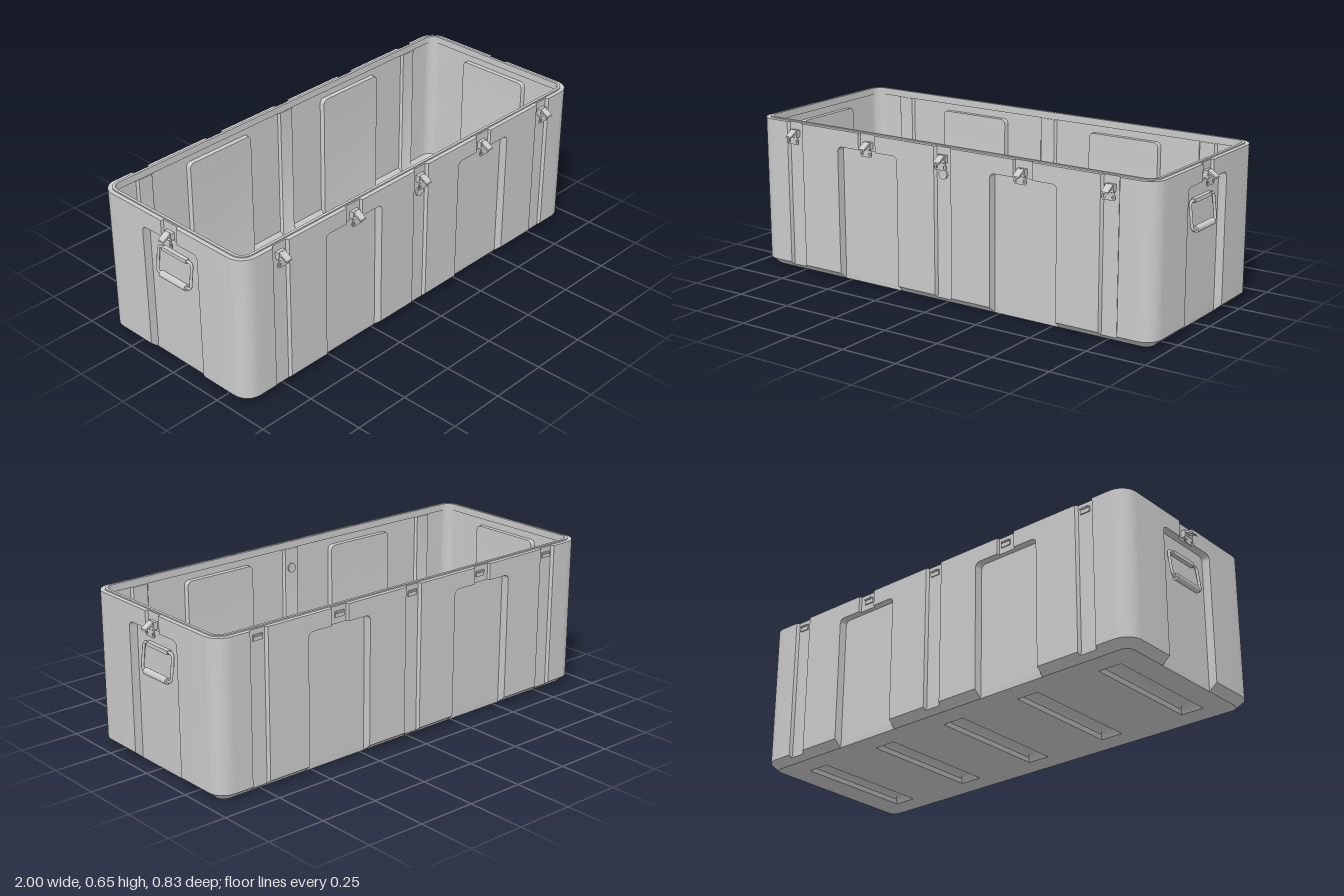
import * as THREE from 'three';
import { toCreasedNormals } from 'three/addons/utils/BufferGeometryUtils.js';

const HX = 0.96, HZ = 0.395, R = 0.07;   // half sizes and corner radius of the tub
const mat = new THREE.MeshStandardMaterial({ color: 0xcccccc });
const V = (x, y, z) => new THREE.Vector3(x, y, z);

function add(parent, name, geo, x = 0, y = 0, z = 0) {
  const m = new THREE.Mesh(geo, mat);
  m.name = name;
  m.position.set(x, y, z);
  parent.add(m);
  return m;
}

// Skin over a list of rings that share one point count
function loft(rings) {
  const n = rings[0].length, idx = [];
  for (let r = 0; r < rings.length - 1; r++) for (let i = 0; i < n; i++) {
    const a = r * n + i, b = r * n + (i + 1) % n;
    idx.push(a, a + n, b, b, a + n, b + n);
  }
  const geo = new THREE.BufferGeometry().setFromPoints(rings.flat());
  geo.setIndex(idx);
  return toCreasedNormals(geo, 0.6);
}

// Flat horizontal face inside a ring, facing up or down, with optional holes
function cap(ring, up, holes = []) {
  const s = up ? -1 : 1;
  const flat = (pts) => pts.map((p) => new THREE.Vector2(p.x, s * p.z));
  const shape = new THREE.Shape(flat(ring));
  for (const h of holes) shape.holes.push(new THREE.Path(flat(h)));
  return new THREE.ShapeGeometry(shape).rotateX(s * Math.PI / 2).translate(0, ring[0].y, 0);
}

// Plan outline at height y: inset rounded rectangle, stepped in by g at the
// grooves and by pd over half width pw at the panels
function outline(y, inset, g, pw, pd) {
  const pts = [];
  for (let k = 0; k < 4; k++) {
    const a = k * Math.PI / 2, c = Math.cos(a), s = Math.sin(a);
    const H = k % 2 ? HZ : HX, L = k % 2 ? HX : HZ;
    const put = (out, t) => pts.push(V(c * out - s * t, y, s * out + c * t));
    for (const f of k % 2 ? [-0.765, -0.38, 0, 0.38, 0.765] : [0]) {
      const panel = k % 2 === 0 || Math.abs(f) === 0.38;
      const w = panel ? pw : 0.033, e = panel ? 0.003 : 0.008;
      const d = H - Math.max(inset, panel ? pd : g);
      put(H - inset, f - w - e);
      put(d, f - w);
      put(d, f + w);
      put(H - inset, f + w + e);
    }
    for (let i = 0; i <= 8; i++) {
      const q = i / 8 * Math.PI / 2, r = R - inset;
      put(H - R + r * Math.cos(q), L - R + r * Math.sin(q));
    }
  }
  return pts;
}

// Heights and half widths of a rounded panel top, going up
function roundedTop(top, w, r) {
  const list = [];
  for (let i = 0; i <= 5; i++) {
    const q = i / 5 * Math.PI / 2;
    list.push([top - r + r * Math.sin(q), w - r + r * Math.cos(q)]);
  }
  return list;
}

function buildTub(parent) {
  const out = (y, inset, w = 0.15, d = 0.033) => outline(y, inset, 0.012, w, d);
  const inn = (y, inset, w = 0.145, d = 0) => outline(y, inset, 0.034, w, d);
  const rings = [
    // outer skin
    out(0, 0.034), out(0.0194, 0.012), out(0.03, 0),
    ...roundedTop(0.575, 0.15, 0.02).map(([y, w]) => out(y, 0, w)),
    out(0.575, 0, 0.04, 0.012), out(0.645, 0, 0.04, 0.012),
    // rim and lip
    out(0.645, 0.018, 0.04, 0), out(0.65, 0.018, 0.04, 0),
    out(0.65, 0.03, 0.04, 0), out(0.62, 0.03, 0.04, 0),
    // inner skin
    inn(0.62, 0.024), inn(0.59, 0.024),
    ...roundedTop(0.59, 0.165, 0.02).reverse().map(([y, w]) => inn(y, 0.024, w, 0.045)),
    inn(0.04, 0.024, 0.165, 0.045), inn(0.012, 0.05, 0.165, 0.045),
  ];
  add(parent, 'tubWalls', loft(rings));

  // Five channels pressed up into the floor
  const rect = (x, y, hx, hz) => [V(x + hx, y, -hz), V(x + hx, y, hz), V(x - hx, y, hz), V(x - hx, y, -hz)];
  const xs = [-0.77, -0.38, 0, 0.375, 0.765];
  const steps = [[0, 0.052, 0.267], [0.018, 0.046, 0.255], [0.026, 0.034, 0.243], [0.028, 0.024, 0.236]];
  for (const x of xs) {
    const under = steps.map(([y, a, b]) => rect(x, y, a - 0.002, b - 0.002)).reverse();
    const above = steps.map(([y, a, b]) => rect(x, y + 0.012, a, b));
    add(parent, 'floorChannel', loft(under));
    add(parent, 'floorChannelRoof', cap(under[0], false));
    add(parent, 'floorRidge', loft(above));
    add(parent, 'floorRidgeTop', cap(above[3], true));
  }
  add(parent, 'underside', cap(rings[0], false, xs.map((x) => rect(x, 0, 0.05, 0.265))));
  add(parent, 'innerFloor', cap(rings[rings.length - 1], true, xs.map((x) => rect(x, 0.012, 0.052, 0.267))));
}

const extrude = (shape, depth) => new THREE.ExtrudeGeometry(shape, { depth, bevelEnabled: false, curveSegments: 6 });

// Group standing on a wall: local z points out of the wall, z = 0 is its face
function onWall(parent, name, angle, along) {
  const g = new THREE.Group();
  g.name = name;
  const h = Math.abs(Math.sin(angle)) > 0.5 ? HX : HZ;
  const c = Math.cos(angle), s = Math.sin(angle);
  g.position.set(h * s + along * c, 0, h * c - along * s);
  g.rotation.y = angle;
  parent.add(g);
  return g;
}

function buildLatch(parent, angle, along) {
  const g = onWall(parent, 'latch', angle, along);
  add(g, 'latchBase', new THREE.BoxGeometry(0.038, 0.03, 0.02), 0, 0.599, -0.003);
  // slotted plate
  const plate = new THREE.Shape([[-0.024, 0.555], [0.024, 0.555], [0.029, 0.562], [0.029, 0.572],
    [0.019, 0.592], [-0.019, 0.592], [-0.029, 0.572], [-0.029, 0.562]].map((p) => new THREE.Vector2(...p)));
  for (const x of [-0.018, 0.018]) plate.holes.push(new THREE.Path().absellipse(x, 0.568, 0.004, 0.007, 0, Math.PI * 2));
  add(g, 'latchPlate', extrude(plate, 0.004), 0, 0, 0.007);
  // lever curling out and down, drawn as a side profile
  const lever = new THREE.Shape();
  lever.moveTo(0.004, 0.616);
  lever.quadraticCurveTo(0.018, 0.606, 0.03, 0.6);
  lever.lineTo(0.039, 0.592);
  lever.lineTo(0.04, 0.586);
  lever.lineTo(0.035, 0.588);
  lever.quadraticCurveTo(0.024, 0.598, 0.004, 0.602);
  add(g, 'latchLever', extrude(lever, 0.03).translate(0, 0, -0.015).rotateY(-Math.PI / 2));
  add(g, 'latchPin', new THREE.CylinderGeometry(0.005, 0.005, 0.046, 10).rotateZ(Math.PI / 2), 0, 0.59, 0.01);
}

function buildCatch(parent, along) {
  const g = onWall(parent, 'catch', Math.PI, along);
  add(g, 'catchPlate', new THREE.BoxGeometry(0.044, 0.024, 0.005), 0, 0.612, -0.0095);
  add(g, 'catchHook', new THREE.BoxGeometry(0.036, 0.006, 0.012), 0, 0.62, -0.007);
}

function buildHandle(parent, angle) {
  const g = onWall(parent, 'handle', angle, 0);
  // wire bail with rounded corners
  const path = new THREE.CurvePath(), w = 0.094, r = 0.018, lo = 0.393, hi = 0.504;
  const P = (x, y) => V(x, y, -0.024 + (hi - y) * 0.12);
  const corners = [[w, hi], [w, lo], [-w, lo], [-w, hi]];
  let last = P(-w + r, hi);
  corners.forEach(([x, y], i) => {
    const [nx, ny] = corners[(i + 1) % 4], [px, py] = corners[(i + 3) % 4];
    const before = P(x + Math.sign(px - x) * r, y + Math.sign(py - y) * r);
    const after = P(x + Math.sign(nx - x) * r, y + Math.sign(ny - y) * r);
    path.add(new THREE.LineCurve3(last, before));
    path.add(new THREE.QuadraticBezierCurve3(before, P(x, y), after));
    last = after;
  });
  add(g, 'handleBail', new THREE.TubeGeometry(path, 96, 0.006, 8, true));
  add(g, 'handleGrip', new THREE.CylinderGeometry(0.014, 0.014, 0.144, 16).rotateZ(Math.PI / 2), 0, lo, -0.0107);
  add(g, 'handleBracket', new THREE.BoxGeometry(0.136, 0.016, 0.018), 0, 0.503, -0.025);
}

export function createModel() {
  const model = new THREE.Group();
  model.name = 'caseBase';
  const body = new THREE.Group();
  body.name = 'body';
  body.position.z = -0.02;
  model.add(body);

  buildTub(body);
  for (const x of [-0.765, -0.375, 0, 0.375, 0.765]) {
    buildLatch(body, 0, x);
    buildCatch(body, x);
  }
  for (const angle of [Math.PI / 2, -Math.PI / 2]) {
    buildLatch(body, angle, 0);
    buildHandle(body, angle);
  }
  // pressure valve through the front wall
  add(body, 'valve', new THREE.CylinderGeometry(0.02, 0.02, 0.036, 24).rotateX(Math.PI / 2), 0, 0.535, HZ - 0.022);
  return model;
}
